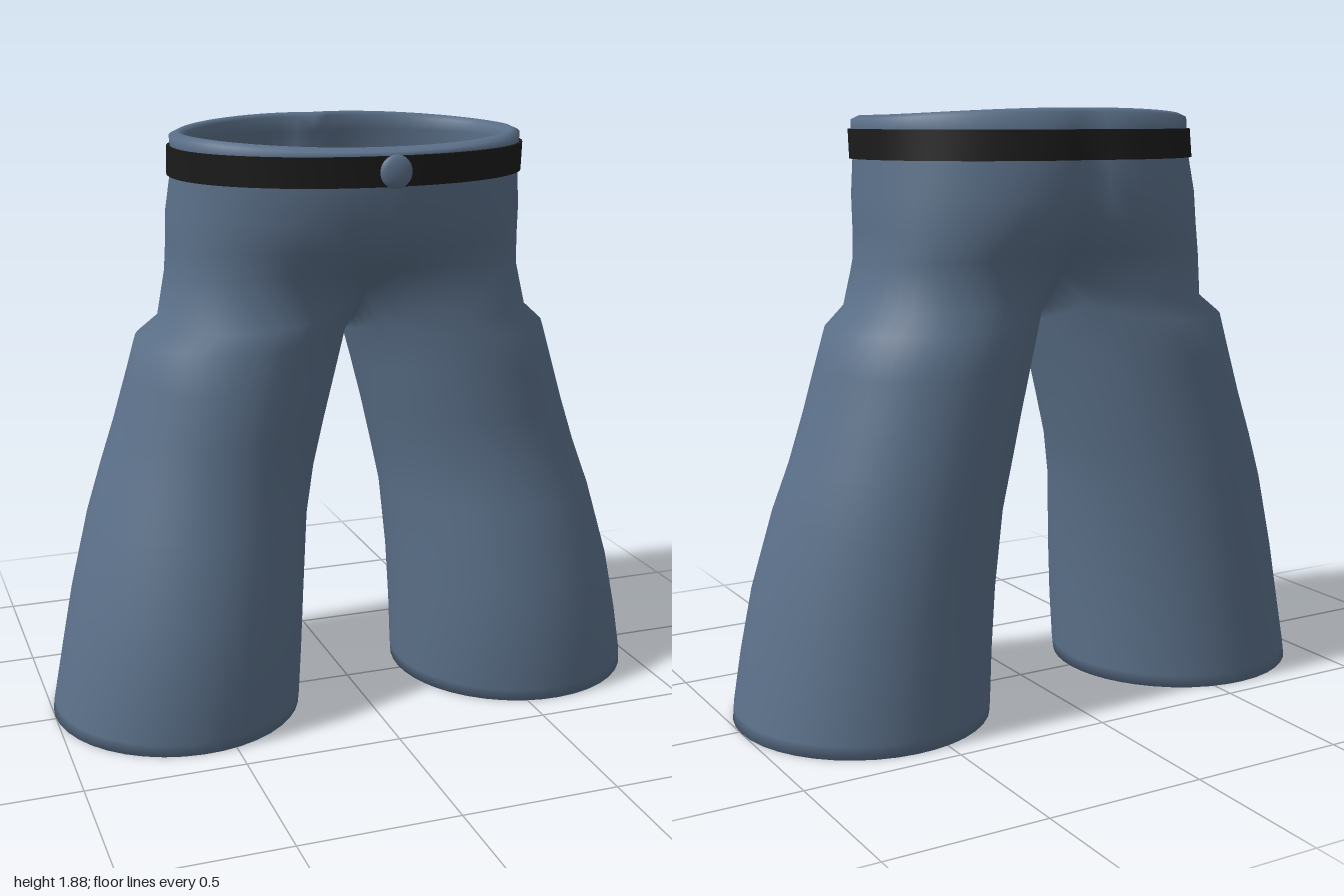
import * as THREE from 'three';
import { mergeGeometries, mergeVertices, toCreasedNormals } from 'three/addons/utils/BufferGeometryUtils.js';

const N = 33;      // columns around the outside of one half, front seam to back seam
const M = 9;       // extra columns on the inner thigh
const SEAM = 0.9;  // angle by which the outer columns wrap past front and back

// Hip rows: y, half width, front z, back z, squareness, front dip, back cleft, front lift, back lift
const HIPS = [
  [1.85, 0.56, 0.40, -0.415, 0.95, 0, 0.035, -0.02, 0.022],
  [1.82, 0.557, 0.415, -0.43, 0.95, 0, 0.04, 0, 0],
  [1.73, 0.557, 0.41, -0.445, 0.95, 0, 0.045, 0, 0],
  [1.62, 0.57, 0.39, -0.455, 0.93, 0, 0.06, 0, 0],
  [1.52, 0.57, 0.355, -0.44, 0.87, 0.01, 0.075, 0.01, 0.01],
  [1.42, 0.572, 0.305, -0.41, 0.77, 0.03, 0.09, 0.04, 0.03],
];
// Leg rows: y, inner x, outer x, front z, back z, seam lift (first row is the crotch)
const LEGS = [
  [1.28, 0, 0.61, 0.285, -0.355, 0.1],
  [1.22, 0.01, 0.68, 0.29, -0.39, 0.06],
  [1.1, 0.045, 0.715, 0.297, -0.395, 0.02],
  [0.95, 0.085, 0.76, 0.3, -0.4, 0],
  [0.8, 0.12, 0.81, 0.305, -0.407, 0],
  [0.65, 0.15, 0.86, 0.34, -0.413, 0],
  [0.4, 0.172, 0.925, 0.39, -0.42, 0],
  [0.2, 0.183, 0.965, 0.405, -0.425, 0],
  [0.04, 0.19, 0.995, 0.402, -0.43, 0],
  [0, 0.193, 1.0, 0.397, -0.43, 0],
];

// Move a point in or out from the axis (cx, cz)
function push([x, y, z], cx, cz, off) {
  const d = Math.hypot(x - cx, z - cz) || 1;
  const s = 1 + off / d;
  return [cx + (x - cx) * s, y, cz + (z - cz) * s];
}

function hipRing([y, w, zf, zb, e, dipF, dipB, liftF, liftB], off = 0, dy = 0) {
  const cz = (zf + zb) / 2, rz = (zf - zb) / 2, ring = [];
  for (let i = 0; i < N; i++) {
    const a = Math.PI * i / (N - 1), c = Math.cos(a), front = c > 0;
    const end = i === 0 || i === N - 1;
    const x = end ? 0 : w * Math.pow(Math.sin(a), e);
    const dip = (front ? dipF : dipB) * Math.exp(-x / 0.1);
    const z = cz + Math.sign(c) * (rz * Math.pow(Math.abs(c), e) - dip);
    const lift = (front ? liftF : liftB) * Math.abs(c) ** 2;
    ring.push(push([x, y + lift + dy, z], 0, cz, off));
  }
  return ring;
}

function legRing([y, xi, xo, zf, zb, lift], off = 0) {
  const cx = (xi + xo) / 2, rx = (xo - xi) / 2, cz = (zf + zb) / 2, rz = (zf - zb) / 2;
  const crotch = xi === 0, ring = [];
  const seamX = cx - rx * Math.sin(SEAM), seamZ = rz * Math.cos(SEAM);
  const rise = crotch ? -off : 0;
  for (let i = 0; i < N; i++) {
    const u = i / (N - 1), k = Math.abs(2 * u - 1) ** 4;
    const t = -SEAM + u * (Math.PI + 2 * SEAM);
    let x = cx + rx * Math.sin(t);
    if (crotch) x = i === 0 || i === N - 1 ? 0 : Math.max(0, x - seamX * k);
    const p = [x, y + lift * k + rise, cz + rz * Math.cos(t)];
    ring.push(push(p, crotch ? 0 : cx, cz, off));
  }
  for (let j = 1; j <= M; j++) {
    const v = j / (M + 1), q = (2 * v - 1) ** 2;
    const t = Math.PI + SEAM + v * (Math.PI - 2 * SEAM);
    if (crotch) {
      // saddle curve between the legs
      ring.push([0, y - 0.03 + (lift + 0.03) * q + rise, cz + (seamZ + off) * (2 * v - 1)]);
    } else {
      ring.push(push([cx + rx * Math.sin(t), y + lift * q, cz + rz * Math.cos(t)], cx, cz, off));
    }
  }
  return ring;
}

// Skin a closed sequence of rings, then mirror it and weld along x = 0
function mirroredSkin(rings) {
  const pos = [], idx = [], start = [];
  for (const ring of rings) {
    start.push(pos.length / 3);
    for (const p of ring) pos.push(...p);
  }
  rings.forEach((ring, r) => {
    const s = (r + 1) % rings.length;
    const full = ring.length > N && rings[s].length > N;
    const count = full ? N + M : N - 1;
    for (let i = 0; i < count; i++) {
      const j = full ? (i + 1) % (N + M) : i + 1;
      const a = start[r] + i, b = start[r] + j, c = start[s] + i, d = start[s] + j;
      idx.push(a, c, b, b, c, d);
    }
  });
  const half = new THREE.BufferGeometry();
  half.setAttribute('position', new THREE.Float32BufferAttribute(pos, 3));
  half.setIndex(idx);
  const other = half.clone().scale(-1, 1, 1);
  other.setIndex(idx.map((_, i) => idx[i - (i % 3) + 2 - (i % 3)]));
  const geo = mergeVertices(mergeGeometries([half, other]), 1e-5);
  geo.computeVertexNormals();
  return geo;
}

export function createModel() {
  const group = new THREE.Group();
  const denim = new THREE.MeshStandardMaterial({ name: 'denim blue', color: 0x5b7089 });
  const black = new THREE.MeshStandardMaterial({ name: 'belt black', color: 0x1b1b1b });
  const add = (name, geometry, material) => {
    const mesh = new THREE.Mesh(geometry, material);
    mesh.name = name;
    group.add(mesh);
    return mesh;
  };

  // Trousers: outside from waist to hem, back up the inside, over the rounded rim
  const trousers = mirroredSkin([
    ...HIPS.map((h) => hipRing(h)),
    ...LEGS.map((l) => legRing(l)),
    ...[...LEGS].reverse().map((l) => legRing(l, -0.03)),
    ...[...HIPS].reverse().map((h) => hipRing(h, -0.05)),
    hipRing(HIPS[0], -0.025, 0.012),
  ]);
  add('trousers', trousers, denim);

  // Belt follows the outline of the waist
  const [top, bottom] = [HIPS[1], HIPS[2]];
  const belt = mirroredSkin([
    hipRing(top, 0.01), hipRing(bottom, 0.01), hipRing(bottom, -0.01), hipRing(top, -0.01),
  ]);
  add('belt', toCreasedNormals(belt, 0.7), black);

  // Round button on the belt
  const button = add('button', new THREE.SphereGeometry(0.05, 24, 16), denim);
  button.scale.z = 0.36;
  button.position.set(0, 1.775, 0.432);

  return group;
}
